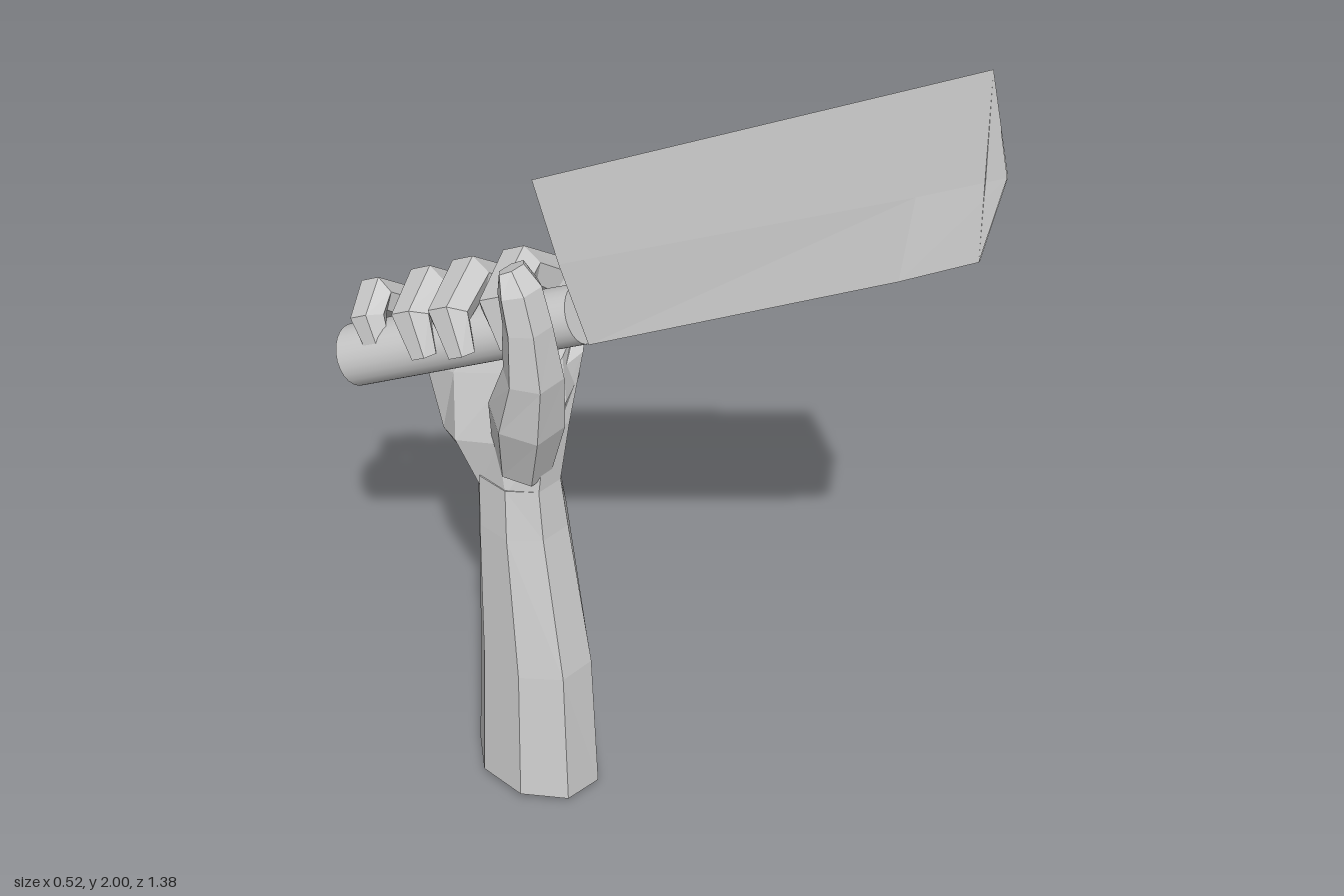
import * as THREE from 'three';

const V = (x, y, z) => new THREE.Vector3(x, y, z);
const mat = new THREE.MeshStandardMaterial({ color: 0xcccccc, flatShading: true });
const smoothMat = new THREE.MeshStandardMaterial({ color: 0xcccccc });

// Closed faceted skin over rings of points, capped at both ends
function loft(name, rings) {
  const tris = [], n = rings[0].length;
  for (let i = 0; i + 1 < rings.length; i++) {
    for (let j = 0; j < n; j++) {
      const k = (j + 1) % n, a = rings[i], b = rings[i + 1];
      tris.push([a[j], a[k], b[k]], [a[j], b[k], b[j]]);
    }
  }
  const end = rings[rings.length - 1];
  for (let j = 1; j + 1 < n; j++) {
    tris.push([rings[0][0], rings[0][j + 1], rings[0][j]], [end[0], end[j], end[j + 1]]);
  }
  // turn the faces outward whatever the ring direction
  let volume = 0;
  for (const [a, b, c] of tris) volume += a.dot(b.clone().cross(c));
  const pts = tris.flatMap(([a, b, c]) => (volume < 0 ? [a, c, b] : [a, b, c]));
  const geo = new THREE.BufferGeometry().setFromPoints(pts);
  geo.computeVertexNormals();
  const mesh = new THREE.Mesh(geo, mat);
  mesh.name = name;
  return mesh;
}

// Polygon ring spanned by half-axes u and v, flat sides facing +u and -u
function ring(c, u, v, n) {
  return Array.from({ length: n }, (_, i) => {
    const a = ((i + 0.5) / n) * Math.PI * 2, s = 1 / Math.cos(Math.PI / n);
    return c.clone().addScaledVector(u, Math.cos(a) * s).addScaledVector(v, Math.sin(a) * s);
  });
}

// Faceted limb along a path; sizes are [thickness, width] half-extents
function limb(name, path, sizes, side, n) {
  return loft(name, path.map((p, i) => {
    const t = path[Math.min(i + 1, path.length - 1)].clone().sub(path[Math.max(i - 1, 0)]);
    const out = side.clone().cross(t).normalize();
    const across = t.clone().cross(out).normalize();
    return ring(p, out.multiplyScalar(sizes[i][0]), across.multiplyScalar(sizes[i][1]), n);
  }));
}

export function createModel() {
  const group = new THREE.Group();

  // Handle axis and the frame around it
  const butt = V(-0.2, 0.985, -0.65), front = V(-0.015, 1.245, -0.135);
  const axis = front.clone().sub(butt), d = axis.clone().normalize();
  const e1 = V(0, 1, 0).cross(d).normalize(), e2 = d.clone().cross(e1);
  const handle = new THREE.Mesh(new THREE.CylinderGeometry(0.064, 0.069, axis.length(), 24), smoothMat);
  handle.name = 'handle';
  handle.position.copy(butt).lerp(front, 0.5);
  handle.quaternion.setFromUnitVectors(V(0, 1, 0), d);
  group.add(handle);

  // Blade: sharp upper edge, thick lower spine, thin curved end
  const n = V(0.96, -0.15, -0.24);
  const section = (edge, mid, spine, h) => [
    edge,
    mid.clone().addScaledVector(n, h * 0.75), spine.clone().addScaledVector(n, h),
    spine.clone().addScaledVector(n, -h), mid.clone().addScaledVector(n, -h * 0.75),
  ];
  const heelEdge = V(-0.03, 1.52, -0.26), heelSpine = V(-0.012, 1.195, -0.1);
  const tipEdge = V(0.258, 2, 0.635), tipMid = V(0.255, 1.8, 0.69), tipSpine = V(0.22, 1.625, 0.67);
  const heelMid = heelEdge.clone().lerp(heelSpine, 0.5);
  group.add(loft('blade', [
    section(heelEdge, heelMid, heelSpine, 0.03),
    section(heelEdge.clone().lerp(tipEdge, 0.82), heelMid.clone().lerp(tipMid, 0.82),
      heelSpine.clone().lerp(tipSpine, 0.82), 0.026),
    section(tipEdge, tipMid, tipSpine, 0.003),
  ]));

  // Forearm: [x, y, z, half width, half depth]
  group.add(loft('forearm', [
    [-0.12, 0.013, -0.195, 0.118, 0.145],
    [-0.103, 0.35, -0.212, 0.108, 0.132],
    [-0.092, 0.7, -0.25, 0.092, 0.1],
    [-0.09, 0.82, -0.262, 0.08, 0.095],
  ].map(([x, y, z, w, h]) => ring(V(x, y, z), V(w, y < 0.1 ? -0.011 : 0, 0), V(0, 0, h), 8))));

  // Palm: fans out from the wrist to the slanted knuckle row
  group.add(loft('palm', [
    ring(V(-0.09, 0.8, -0.262), V(0, 0.02, 0.095), V(0.079, 0, 0), 8),
    ring(V(-0.075, 0.9, -0.315), V(0.01, 0.06, 0.15), V(0.088, 0, 0), 8),
    ring(V(-0.02, 1.02, -0.375), V(0.025, 0.08, 0.195), V(0.062, 0.01, 0), 8),
    ring(V(0.04, 1.09, -0.4), V(0.045, 0.08, 0.17), V(0.032, 0.01, 0), 8),
  ]));

  // Fingers: from the palm, round the knuckle and over the handle
  // [name, place along handle, tip offset, size]
  [
    ['indexFinger', 0.8, -0.1, 1.05],
    ['middleFinger', 0.58, -0.1, 1.05],
    ['ringFinger', 0.39, -0.075, 1],
    ['littleFinger', 0.155, -0.035, 0.92],
  ].forEach(([name, t, tip, s], i) => {
    const c = butt.clone().addScaledVector(axis, t);
    const at = (a, b) => c.clone().addScaledVector(e1, a).addScaledVector(e2, b);
    const base = V(0.02, 1.02, -0.3).lerp(V(-0.01, 0.93, -0.46), i / 3);
    group.add(limb(name,
      [base, at(0.12, -0.01), at(0.105, 0.05), at(0.035, 0.115), at(tip + 0.02, 0.09), at(tip, 0.005)],
      [[0.035, 0.045], [0.04, 0.046], [0.04, 0.046], [0.04, 0.044], [0.038, 0.04], [0.024, 0.028]]
        .map(([a, b]) => [a * s, b * s]), d, 6));
  });

  // Thumb: rises along the front of the palm and points up
  group.add(limb('thumb',
    [V(-0.11, 0.86, -0.23), V(-0.13, 1.02, -0.19), V(-0.14, 1.15, -0.155),
      V(-0.148, 1.27, -0.16), V(-0.15, 1.35, -0.178), V(-0.152, 1.395, -0.198)],
    [[0.06, 0.05], [0.075, 0.07], [0.055, 0.06], [0.045, 0.048], [0.04, 0.045], [0.02, 0.03]],
    V(1, 0, 0), 6));

  // Web of flesh joining the thumb to the index knuckle
  group.add(loft('thumbWeb', [
    ring(V(-0.1, 0.9, -0.23), V(0.06, 0, 0), V(0, 0, 0.06), 6),
    ring(V(-0.06, 1.04, -0.2), V(0.09, 0, -0.02), V(0, 0, 0.05), 6),
    ring(V(-0.03, 1.12, -0.21), V(0.085, 0.02, -0.03), V(0, 0, 0.025), 6),
  ]));

  return group;
}
